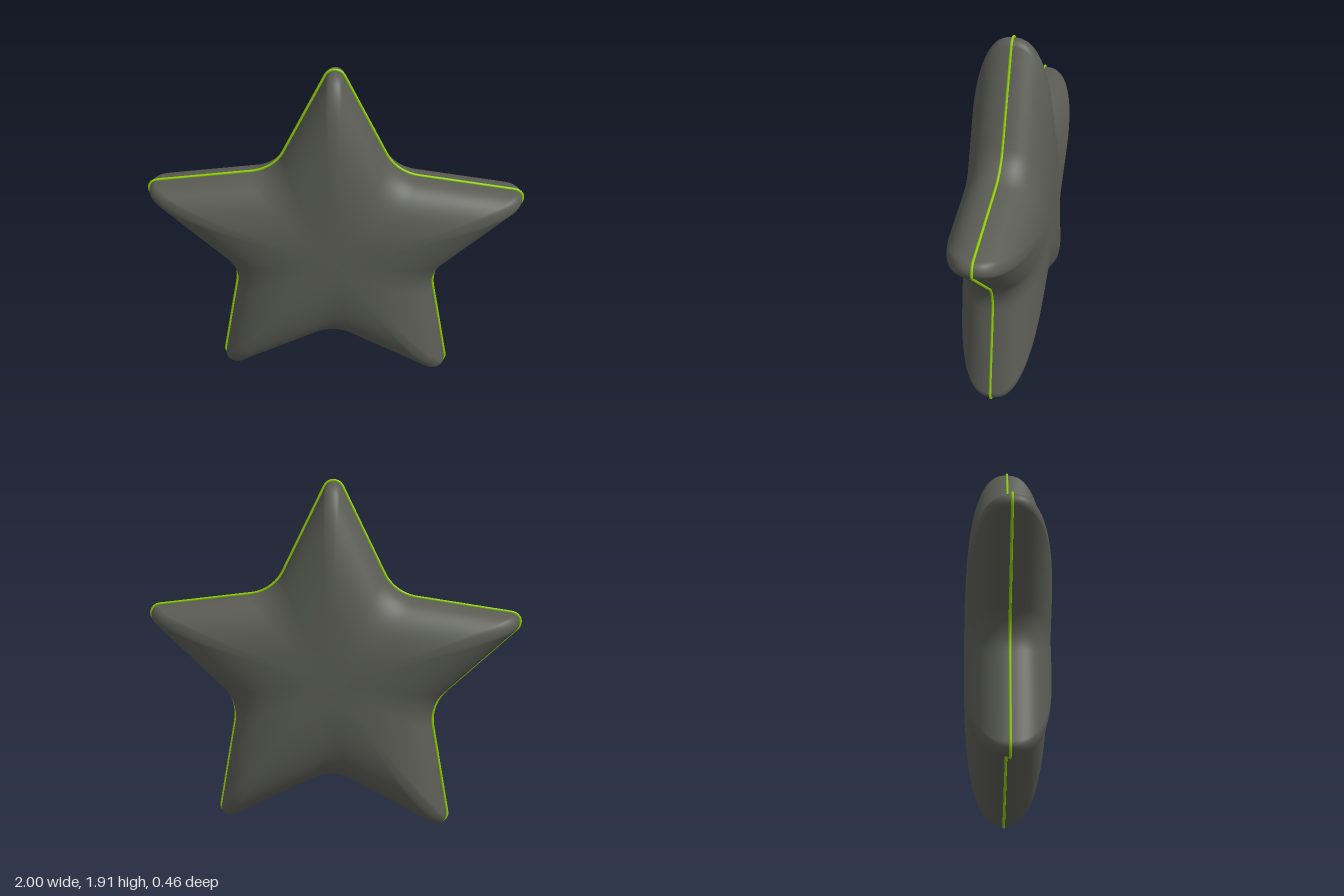
import * as THREE from 'three';

const CENTER_Y = 0.857;   // height of the star's middle
const HALF_DEPTH = 0.228; // puffed half thickness
const rad = THREE.MathUtils.degToRad;

// Rounded five-pointed outline, counter-clockwise, shrunk inward by inset
function starOutline(inset) {
  const points = [];
  const tipRadius = 0.06 - inset, valleyRadius = 0.22 + inset;
  const at = (axis, dist, normal, r) => new THREE.Vector2(
    dist * Math.cos(rad(axis)) + r * Math.cos(rad(normal)),
    dist * Math.sin(rad(axis)) + r * Math.sin(rad(normal)));
  for (let k = 0; k < 5; k++) {
    const axis = 90 + 72 * k;
    const tip = (n) => at(axis, 0.988, axis + n, tipRadius);
    const valley = (n) => at(axis + 36, 0.807, axis + n, -valleyRadius);
    const flank = (from, to) => {
      for (let i = 1; i < 8; i++) points.push(from.clone().lerp(to, i / 8));
    };
    for (let i = 0; i <= 14; i++) points.push(tip(-64 + (128 * i) / 14));
    flank(tip(64), valley(64));
    for (let i = 0; i <= 12; i++) points.push(valley(64 - (56 * i) / 12));
    flank(valley(8), at(axis + 72, 0.988, axis + 8, tipRadius));
  }
  return points;
}

// Cushion surface: scaled outlines from the front pole over the rim to the back pole
function cushionGeometry(outline, rings) {
  const n = outline.length;
  const positions = [0, 0, HALF_DEPTH];
  const index = [];
  for (let i = 1; i < rings; i++) {
    const phi = (Math.PI * i) / rings;
    const t = Math.sin(phi);
    const side = i * 2 === rings ? 0 : Math.sign(Math.cos(phi));
    const z = side * HALF_DEPTH * Math.pow(Math.max(0, 1 - t ** 3), 0.4);
    for (const p of outline) positions.push(p.x * t, p.y * t, z);
  }
  positions.push(0, 0, -HALF_DEPTH);
  const last = positions.length / 3 - 1;
  const id = (i, j) => (i === 0 ? 0 : i === rings ? last : 1 + (i - 1) * n + (j % n));
  for (let i = 0; i < rings; i++) {
    for (let j = 0; j < n; j++) {
      if (i < rings - 1) index.push(id(i, j), id(i + 1, j), id(i + 1, j + 1));
      if (i > 0) index.push(id(i, j), id(i + 1, j + 1), id(i, j + 1));
    }
  }
  const geometry = new THREE.BufferGeometry();
  geometry.setAttribute('position', new THREE.Float32BufferAttribute(positions, 3));
  geometry.setIndex(index);
  geometry.computeVertexNormals();
  return geometry;
}

export function createModel() {
  const group = new THREE.Group();
  group.name = 'starCushion';

  // Puffed body
  const body = new THREE.Mesh(
    cushionGeometry(starOutline(0.012), 56),
    new THREE.MeshStandardMaterial({ color: 0x5a5c54 }));
  body.name = 'body';

  // Thin piping around the rim
  const path = new THREE.CatmullRomCurve3(
    starOutline(0.007).map((p) => new THREE.Vector3(p.x, p.y, 0)), true);
  const seam = new THREE.Mesh(
    new THREE.TubeGeometry(path, 400, 0.007, 8, true),
    new THREE.MeshStandardMaterial({ color: 0x8fce00 }));
  seam.name = 'seamPiping';

  for (const part of [body, seam]) {
    part.position.y = CENTER_Y;
    group.add(part);
  }
  return group;
}
